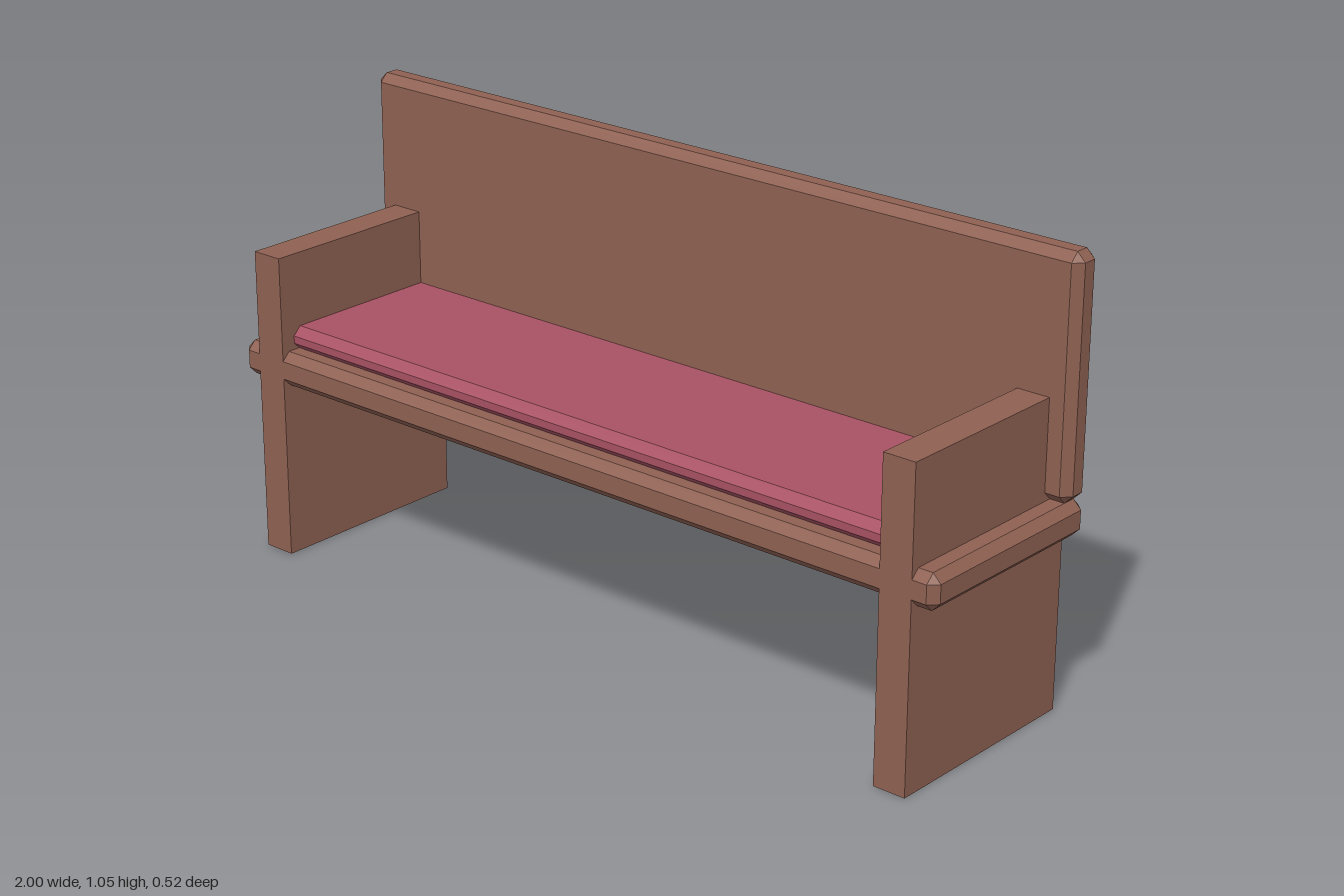
import * as THREE from 'three';
import { ConvexGeometry } from 'three/addons/geometries/ConvexGeometry.js';

const wood = new THREE.MeshStandardMaterial({ color: 0x8f6152 });
const fabric = new THREE.MeshStandardMaterial({ color: 0xa85264 });

// Box with every edge and corner cut by a flat bevel c
function bevelledBox(w, h, d, c) {
  const points = [];
  for (const sx of [-1, 1]) for (const sy of [-1, 1]) for (const sz of [-1, 1]) {
    for (let axis = 0; axis < 3; axis++) {
      const inset = [c, c, c];
      inset[axis] = 0;
      points.push(new THREE.Vector3(
        sx * (w / 2 - inset[0]), sy * (h / 2 - inset[1]), sz * (d / 2 - inset[2])));
    }
  }
  return new ConvexGeometry(points);
}

export function createModel() {
  const bench = new THREE.Group();
  bench.name = 'bench';

  const add = (name, geometry, material, x, y, z) => {
    const mesh = new THREE.Mesh(geometry, material);
    mesh.name = name;
    mesh.position.set(x, y, z);
    bench.add(mesh);
  };

  // Long boards
  add('seat', bevelledBox(2, 0.083, 0.525, 0.02), wood, 0, 0.4645, 0);
  add('backrest', bevelledBox(2, 0.548, 0.073, 0.02), wood, 0, 0.78, -0.226);

  // Cushion between the side panels
  add('cushion', bevelledBox(1.8, 0.058, 0.45, 0.02), fabric, 0, 0.53, 0);

  // Side panels serve as legs and armrests
  for (const side of [-1, 1]) {
    add(side > 0 ? 'leftSidePanel' : 'rightSidePanel',
      new THREE.BoxGeometry(0.08, 0.737, 0.525), wood, side * 0.904, 0.3685, 0);
  }
  return bench;
}
